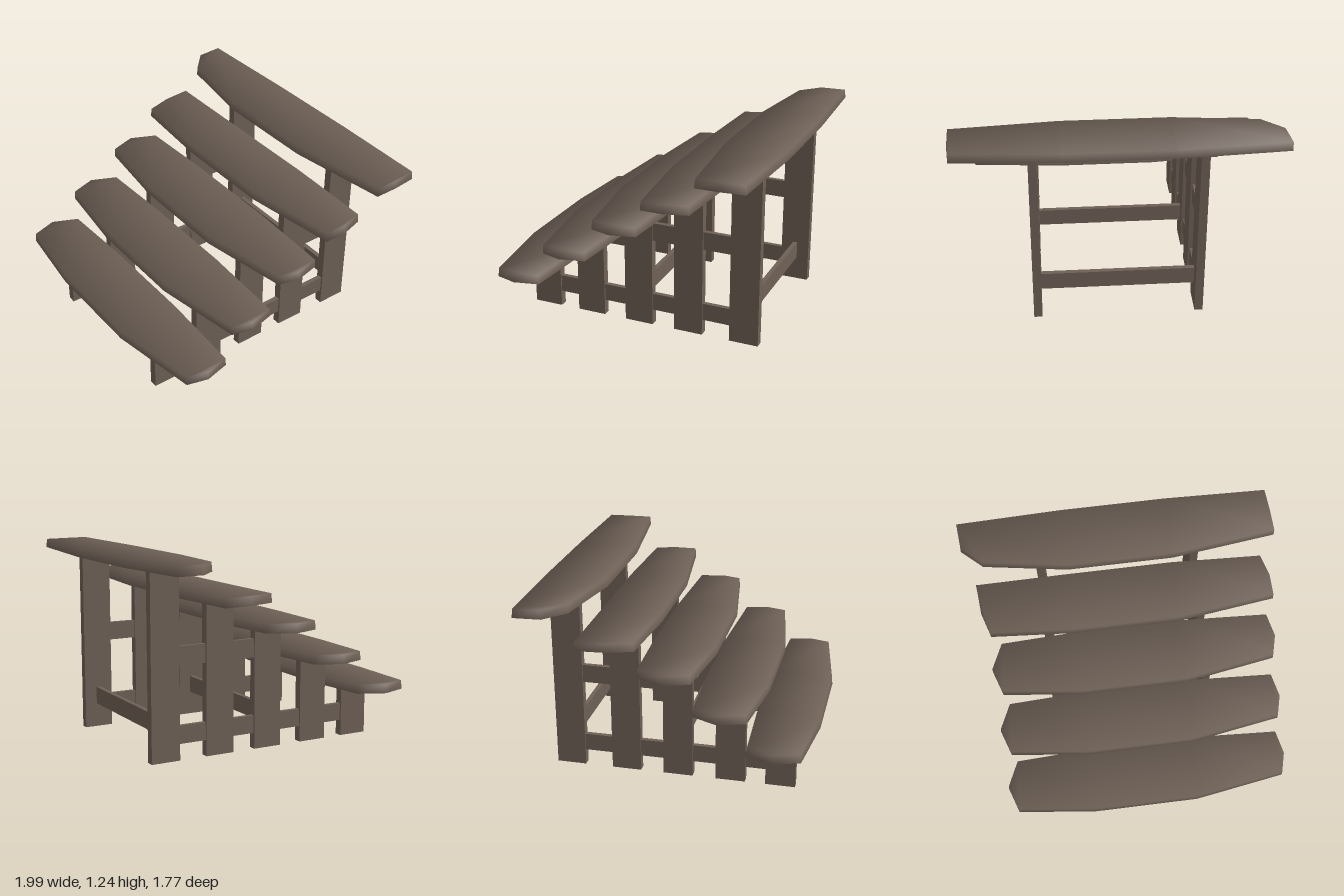
import * as THREE from 'three';

const wood = new THREE.MeshStandardMaterial({ color: 0x6e6056 });
wood.name = 'weathered wood';

// Triangles of a tread face: tip, three strips across the board, tip
const CAP = [0, 1, 9, 1, 2, 9, 2, 8, 9, 2, 3, 8, 3, 7, 8, 3, 4, 7, 4, 6, 7, 4, 5, 6];

// Slab with a ten-point outline, raised slightly at both ends and shaded
// softly over its upper edge; the underside is flat
function treadGeometry(outline, y, thickness) {
  const n = outline.length, pos = [], nor = [], idx = [];
  const ring = (height, grow, normalOf) => outline.forEach(([x, z], i) => {
    const a = outline[(i + n - 1) % n], b = outline[(i + 1) % n];
    const out = new THREE.Vector3(a[1] - b[1], 0, b[0] - a[0]).normalize();
    const lift = Math.abs(x) > 0.5 ? 0.011 : 0;
    pos.push(x + out.x * grow, height + lift, z + out.z * grow);
    const v = normalOf(out).normalize();
    nor.push(v.x, v.y, v.z);
  });
  ring(y + thickness, -0.003, (o) => o.clone().add(new THREE.Vector3(0, 1, 0)));
  ring(y, 0.002, (o) => o.clone());
  ring(y, 0.002, () => new THREE.Vector3(0, -1, 0));
  idx.push(...CAP);
  for (let i = 0; i < n; i++) {
    const j = (i + 1) % n;
    idx.push(n + i, n + j, j, n + i, j, i);
  }
  for (let t = 0; t < CAP.length; t += 3) {
    idx.push(2 * n + CAP[t], 2 * n + CAP[t + 2], 2 * n + CAP[t + 1]);
  }
  const g = new THREE.BufferGeometry();
  g.setAttribute('position', new THREE.Float32BufferAttribute(pos, 3));
  g.setAttribute('normal', new THREE.Float32BufferAttribute(nor, 3));
  g.setIndex(idx);
  return g;
}

export function createModel() {
  const model = new THREE.Group();
  model.name = 'staircase';

  const add = (name, geometry) => {
    const mesh = new THREE.Mesh(geometry, wood);
    mesh.name = name;
    model.add(mesh);
  };
  // Box given by its limits on each axis
  const beam = (name, x0, x1, y0, y1, z0, z1) => {
    const g = new THREE.BoxGeometry(x1 - x0, y1 - y0, z1 - z0);
    g.translate((x0 + x1) / 2, (y0 + y1) / 2, (z0 + z1) / 2);
    add(name, g);
  };

  // Outlines: left tip, front edge, right tip, back edge
  const common = [
    [-0.885, -0.01], [-0.83, 0.155], [-0.33, 0.21], [0.34, 0.21], [0.92, 0.12],
    [0.955, -0.01], [0.92, -0.165], [0.34, -0.2], [-0.33, -0.2], [-0.81, -0.175]];
  const fourth = [
    [-0.91, -0.34], [-0.86, -0.175], [-0.33, -0.14], [0.34, -0.14], [0.955, -0.215],
    [0.955, -0.355], [0.915, -0.5], [0.34, -0.53], [-0.33, -0.53], [-0.925, -0.52]];
  const top = [
    [-0.985, -0.69], [-0.855, -0.57], [-0.33, -0.49], [0.34, -0.49], [0.995, -0.565],
    [0.993, -0.71], [0.98, -0.86], [0.34, -0.885], [-0.33, -0.885], [-0.997, -0.86]];
  const shifted = (dz) => common.map(([x, z]) => [x, z + dz]);

  const steps = [
    { outline: shifted(0.67), y: 0.332, leg: 0.665 },
    { outline: shifted(0.34), y: 0.552, leg: 0.345 },
    { outline: common, y: 0.772, leg: 0.005 },
    { outline: fourth, y: 0.963, leg: -0.335 },
    { outline: top, y: 1.168, leg: -0.707 }];

  // Treads, each carried by a pair of legs
  for (const { outline, y, leg } of steps) {
    add('tread', treadGeometry(outline, y, 0.056));
    for (const x of [-0.505, 0.505]) {
      beam('leg', x - 0.026, x + 0.026, 0, y + 0.005, leg - 0.095, leg + 0.095);
    }
  }

  // Side rails joining the legs
  for (const x of [-0.505, 0.505]) {
    beam('lowerRail', x - 0.015, x + 0.015, 0.1, 0.213, -0.65, 0.62);
    beam('upperRail', x - 0.015, x + 0.015, 0.583, 0.7, -0.65, -0.05);
  }

  // Cross beams between the left and right legs
  for (const z of [0.005, -0.707]) {
    beam('crossBeam', -0.49, 0.49, 0.157, 0.27, z - 0.015, z + 0.015);
  }
  return model;
}
